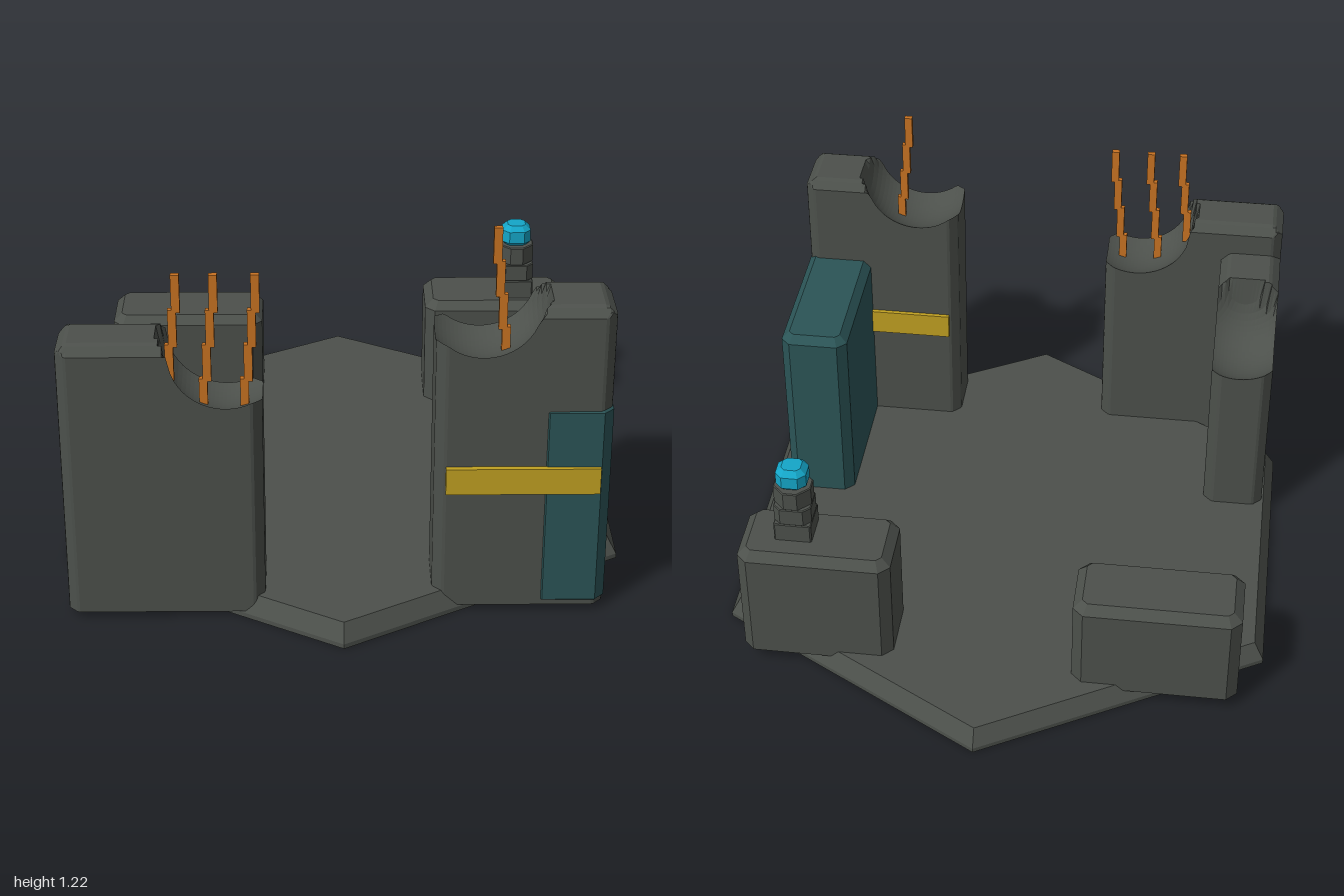
import * as THREE from 'three';

const mat = (name, color) => {
  const m = new THREE.MeshStandardMaterial({ color });
  m.name = name;
  return m;
};

export function createModel() {
  const model = new THREE.Group();
  const stone = mat('stone', 0x4c504b);
  const teal = mat('teal', 0x2b5456);
  const yellow = mat('yellow', 0xc0a021);
  const rust = mat('rust', 0xc87222);
  const cyan = mat('cyan', 0x14a6c8);

  const add = (name, geo, material, parent = model) => {
    const flat = geo.index ? geo.toNonIndexed() : geo;
    flat.computeVertexNormals();
    const mesh = new THREE.Mesh(flat, material);
    mesh.name = name;
    parent.add(mesh);
    return mesh;
  };

  // Box with chamfered edges, given as [min, max] ranges
  const chamferBox = ([x0, x1], [y0, y1], [z0, z1], b, cut = b) => {
    const hw = (x1 - x0) / 2 - b, hd = (z1 - z0) / 2 - b;
    const c = cut * 0.6;
    const shape = new THREE.Shape([
      [hw, -hd + c], [hw, hd - c], [hw - c, hd], [-hw + c, hd],
      [-hw, hd - c], [-hw, -hd + c], [-hw + c, -hd], [hw - c, -hd],
    ].map(([x, y]) => new THREE.Vector2(x, y)));
    const geo = new THREE.ExtrudeGeometry(shape, {
      depth: y1 - y0 - 2 * b, bevelEnabled: true, bevelSegments: 1, bevelSize: b, bevelThickness: b,
    });
    geo.rotateX(-Math.PI / 2);
    geo.translate((x0 + x1) / 2, y0 + b, (z0 + z1) / 2);
    return geo;
  };

  // Chamfered block whose top is scooped out by a sphere
  const ruinedBlock = ([x0, x1], [y0, y1], [z0, z1], bite) => {
    const w = x1 - x0, d = z1 - z0, b = 0.03;
    const cx = (x0 + x1) / 2, cz = (z0 + z1) / 2;
    const geo = new THREE.BoxGeometry(w, 1, d, Math.round(w / 0.012), 1, Math.round(d / 0.012));
    const p = geo.attributes.position;
    for (let i = 0; i < p.count; i++) {
      let x = p.getX(i), z = p.getZ(i);
      const edge = Math.min(w / 2 - Math.abs(x), d / 2 - Math.abs(z));
      // chamfer the upright corners
      const over = Math.max(0, Math.abs(x) + Math.abs(z) - (w / 2 + d / 2 - b)) / 2;
      x = cx + x - Math.sign(x) * over;
      z = cz + z - Math.sign(z) * over;
      let y = y0;
      if (p.getY(i) > 0) {
        y = y1 - Math.max(0, b - edge);
        const r2 = bite.r ** 2 - (x - bite.x) ** 2 - (z - bite.z) ** 2;
        if (r2 > 0) y = Math.min(y, bite.y - Math.sqrt(r2));
      }
      p.setXYZ(i, x, y, z);
    }
    return geo;
  };

  // Bent bar made of stepped segments
  const rod = (name, [xa, xb], [ya, yb], z, steps = 4) => {
    const group = new THREE.Group();
    group.name = name;
    const h = (yb - ya) / steps;
    for (let i = 0; i < steps; i++) {
      const geo = new THREE.BoxGeometry(0.025, h + 0.008, 0.018);
      geo.translate(xa + (xb - xa) * (i / (steps - 1)), ya + h * (i + 0.5), z);
      add('rodSegment', geo, rust, group);
    }
    model.add(group);
  };

  // Six-sided ground slab
  const slab = new THREE.CylinderGeometry(0.965, 1, 0.055, 6);
  slab.translate(0, 0.0425, 0);
  add('groundSlab', slab, stone);
  const foot = new THREE.CylinderGeometry(1, 1, 0.015, 6);
  foot.translate(0, 0.0075, 0);
  add('groundFoot', foot, stone);

  // Corner ruin: front wall and side wing
  add('frontWall', ruinedBlock([-0.83, -0.235], [0.02, 0.908], [0.63, 0.826],
    { x: -0.34, y: 0.875, z: 0.715, r: 0.198 }), stone);
  add('sideWing', ruinedBlock([-0.83, -0.63], [0.02, 0.805], [0.195, 0.7],
    { x: -0.72, y: 0.765, z: 0.29, r: 0.19 }), stone);

  // Tall tower with its band and annex
  add('tower', ruinedBlock([0.268, 0.787], [0.02, 1.01], [0.575, 0.797],
    { x: 0.405, y: 1.02, z: 0.685, r: 0.198 }), stone);
  add('annex', chamferBox([0.572, 0.791], [0.015, 0.702], [0.097, 0.801], 0.025), teal);
  const band = new THREE.BoxGeometry(0.457, 0.085, 0.254);
  band.translate(0.53, 0.457, 0.688);
  add('towerBand', band, yellow);

  // Low back blocks
  add('backLowBlock', chamferBox([-0.79, -0.27], [0.02, 0.377], [-0.727, -0.483], 0.028), stone);
  add('backLampBlock', chamferBox([0.3, 0.782], [0.02, 0.447], [-0.692, -0.442], 0.028), stone);

  // Lamp: stacked prisms with growing corner cuts, then the light
  [[0.43, 0.51, 0.005], [0.51, 0.57, 0.035], [0.57, 0.635, 0.06]].forEach(([a, b, cut]) =>
    add('lampPost', chamferBox([0.555, 0.673], [a, b], [-0.606, -0.488], 0.003, cut), stone));
  add('lampLight', chamferBox([0.566, 0.662], [0.63, 0.707], [-0.595, -0.5], 0.018, 0.02), cyan);

  // Exposed rods
  [-0.515, -0.407, -0.287].forEach((x) => rod('wallRod', [x, x + 0.035], [0.66, 1.1], 0.75));
  rod('towerRod', [0.475, 0.443], [0.8, 1.215], 0.688);

  return model;
}
